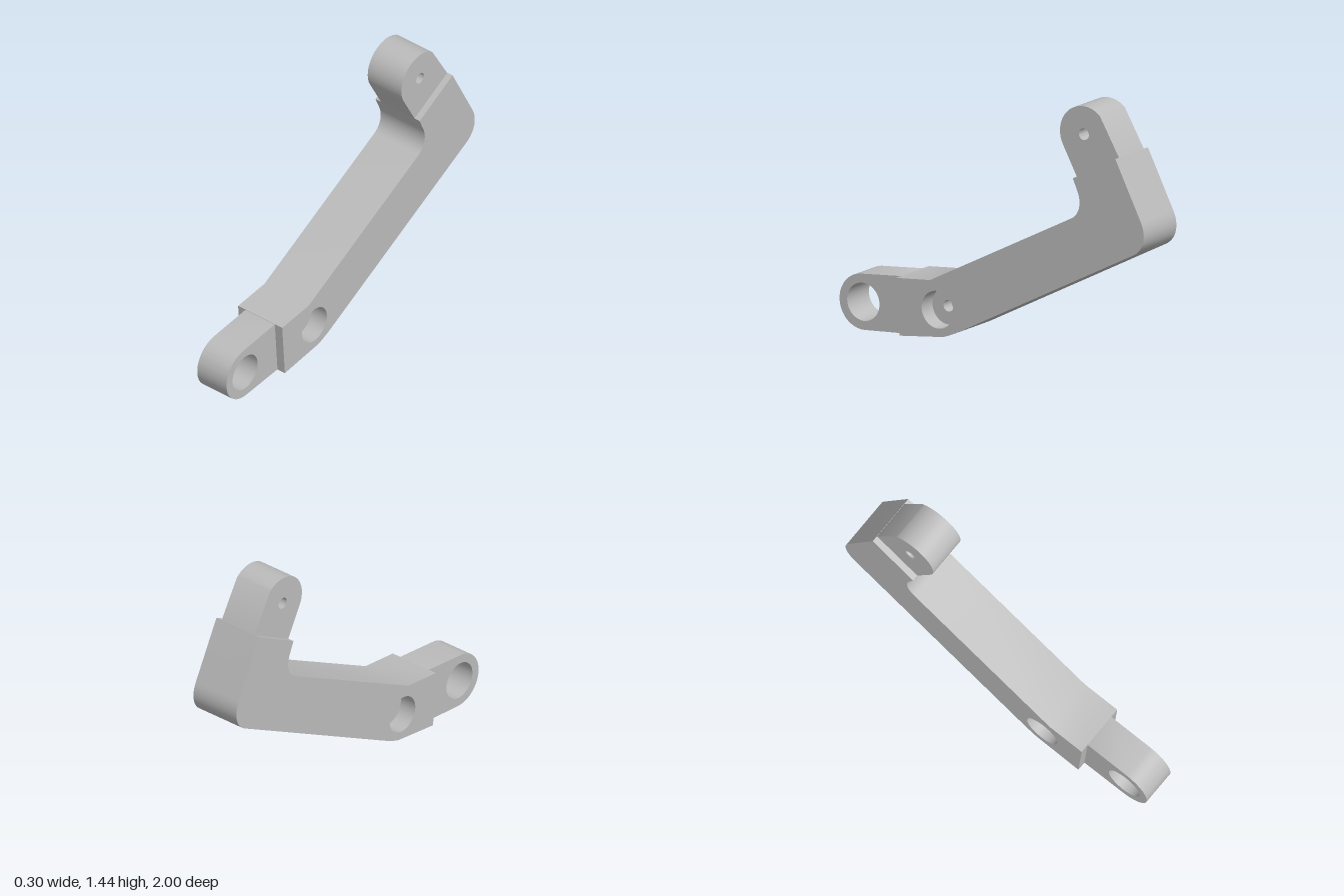
import * as THREE from 'three';
import { toCreasedNormals } from 'three/addons/utils/BufferGeometryUtils.js';

const metal = new THREE.MeshStandardMaterial({ color: 0xbbbbbb });
metal.name = 'grey metal';

// Side profiles are drawn as (u, y) with u = -z, then extruded across x.
function plate(name, shape, width) {
  let geo = new THREE.ExtrudeGeometry(shape, { depth: width, bevelEnabled: false, curveSegments: 24 });
  geo.translate(0, 0, -width / 2);
  geo.rotateY(Math.PI / 2);
  geo = toCreasedNormals(geo, 0.5);
  const mesh = new THREE.Mesh(geo, metal);
  mesh.name = name;
  return mesh;
}

function drill(shape, u, y, r) {
  const hole = new THREE.Path();
  hole.absarc(u, y, r, 0, Math.PI * 2, true);
  shape.holes.push(hole);
}

const deg = THREE.MathUtils.degToRad;

export function createModel() {
  const group = new THREE.Group();
  group.name = 'crankedArm';

  // Main bent arm with rounded elbow and pivot bore
  const arm = new THREE.Shape();
  arm.moveTo(-0.6, 0.335);
  arm.lineTo(-0.578, 0.022);
  arm.lineTo(-0.3, 0.055);
  arm.quadraticCurveTo(-0.25, 0.07, -0.185, 0.104);
  arm.lineTo(0.93, 0.683);
  arm.bezierCurveTo(0.99, 0.715, 1.018, 0.79, 0.975, 0.873);
  arm.lineTo(0.812, 1.193);
  arm.lineTo(0.539, 1.047);
  arm.lineTo(0.572, 0.97);
  arm.bezierCurveTo(0.592, 0.92, 0.582, 0.855, 0.53, 0.827);
  arm.lineTo(-0.382, 0.355);
  arm.closePath();
  drill(arm, -0.333, 0.2, 0.103);
  group.add(plate('arm', arm, 0.304));

  // Web in the middle of the pivot bore, recessed from both sides
  const web = new THREE.Shape();
  web.absarc(-0.333, 0.2, 0.103, 0, Math.PI * 2, false);
  drill(web, -0.333, 0.2, 0.032);
  group.add(plate('pivotWeb', web, 0.1));

  // Narrow front eye
  const eye = new THREE.Shape();
  eye.moveTo(-0.5, 0.3);
  eye.lineTo(-0.6, 0.334);
  eye.absarc(-0.847, 0.157, 0.153, deg(97), deg(272), false);
  eye.lineTo(-0.578, 0.023);
  eye.lineTo(-0.5, 0.06);
  eye.closePath();
  drill(eye, -0.847, 0.157, 0.104);
  group.add(plate('frontEye', eye, 0.202));

  // Narrow top lug
  const lug = new THREE.Shape();
  lug.moveTo(0.8, 1.15);
  lug.lineTo(0.811, 1.192);
  lug.absarc(0.585, 1.287, 0.154, deg(48), deg(206), false);
  lug.lineTo(0.54, 1.047);
  lug.lineTo(0.6, 1.02);
  lug.closePath();
  drill(lug, 0.585, 1.287, 0.032);
  group.add(plate('topLug', lug, 0.232));

  return group;
}
